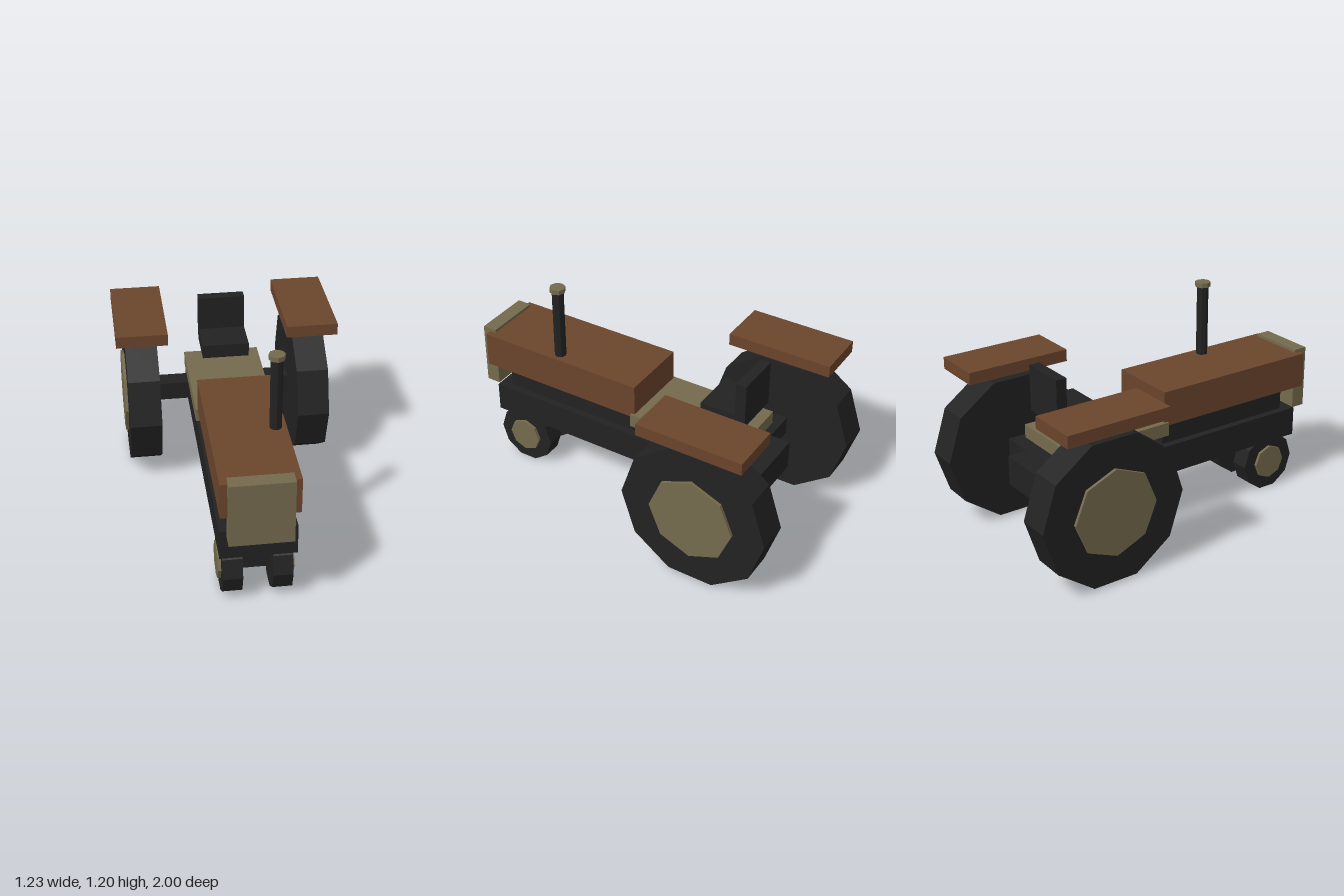
import * as THREE from 'three';

const mat = (name, color) => {
  const m = new THREE.MeshStandardMaterial({ color });
  m.name = name;
  return m;
};

export function createModel() {
  const brown = mat('rust brown', 0x6b452c);
  const khaki = mat('khaki', 0x746a4d);
  const black = mat('soft black', 0x222222);

  const model = new THREE.Group();
  model.name = 'tractor';

  const add = (name, geometry, material, x, y, z) => {
    const mesh = new THREE.Mesh(geometry, material);
    mesh.name = name;
    mesh.position.set(x, y, z);
    model.add(mesh);
    return mesh;
  };

  // Box given by its min and max along each axis
  const box = (name, material, [x0, x1], [y0, y1], [z0, z1]) =>
    add(name, new THREE.BoxGeometry(x1 - x0, y1 - y0, z1 - z0), material,
      (x0 + x1) / 2, (y0 + y1) / 2, (z0 + z1) / 2);

  // Faceted upright cylinder
  const prism = (radius, length, sides) =>
    new THREE.CylinderGeometry(radius, radius, length, sides).toNonIndexed();
  const faceted = (geometry) => {
    geometry.computeVertexNormals();
    return geometry;
  };

  // Faceted disc on the x axis, from x0 to x1
  const disc = (name, material, radius, sides, x0, x1, y, z) =>
    add(name, faceted(prism(radius, Math.abs(x1 - x0), sides).rotateZ(Math.PI / 2)),
      material, (x0 + x1) / 2, y, z);

  // Body
  box('chassis', black, [-0.197, 0.197], [0.297, 0.463], [-0.75, 0.9]);
  box('engineBlock', black, [-0.157, 0.157], [0.463, 0.59], [0, 0.83]);
  box('hood', brown, [-0.2, 0.2], [0.587, 0.783], [-0.02, 0.955]);
  box('grille', khaki, [-0.163, 0.163], [0.447, 0.8], [0.92, 1]);
  box('platform', khaki, [-0.213, 0.213], [0.535, 0.61], [-0.633, 0]);

  // Seat
  box('seatCushion', black, [-0.13, 0.13], [0.705, 0.783], [-0.62, -0.38]);
  box('seatBack', black, [-0.13, 0.13], [0.725, 0.977], [-0.64, -0.58]);

  // Exhaust
  add('exhaustPipe', faceted(prism(0.032, 0.42, 8)), black, 0.143, 0.975, 0.49);
  add('exhaustCap', faceted(prism(0.043, 0.026, 8)), khaki, 0.143, 1.193, 0.49);

  // Axles
  box('rearAxle', black, [-0.39, 0.39], [0.357, 0.463], [-0.638, -0.533]);
  box('frontAxle', black, [-0.09, 0.09], [0.125, 0.205], [0.695, 0.775]);

  // Wheels, hubs and fenders, mirrored
  for (const [side, s] of [['left', 1], ['right', -1]]) {
    disc(side + 'RearWheel', black, 0.415, 10, s * 0.384, s * 0.562, 0.41, -0.585);
    disc(side + 'RearHub', khaki, 0.24, 8, s * 0.55, s * 0.579, 0.41, -0.585);
    disc(side + 'FrontWheel', black, 0.17, 10, s * 0.077, s * 0.179, 0.163, 0.735);
    disc(side + 'FrontHub', khaki, 0.098, 8, s * 0.17, s * 0.196, 0.164, 0.735);
    const fender = box(side + 'Fender', brown, [0.33, 0.615], [0.853, 0.92], [-0.882, -0.29]);
    fender.position.x *= s;
  }
  return model;
}
